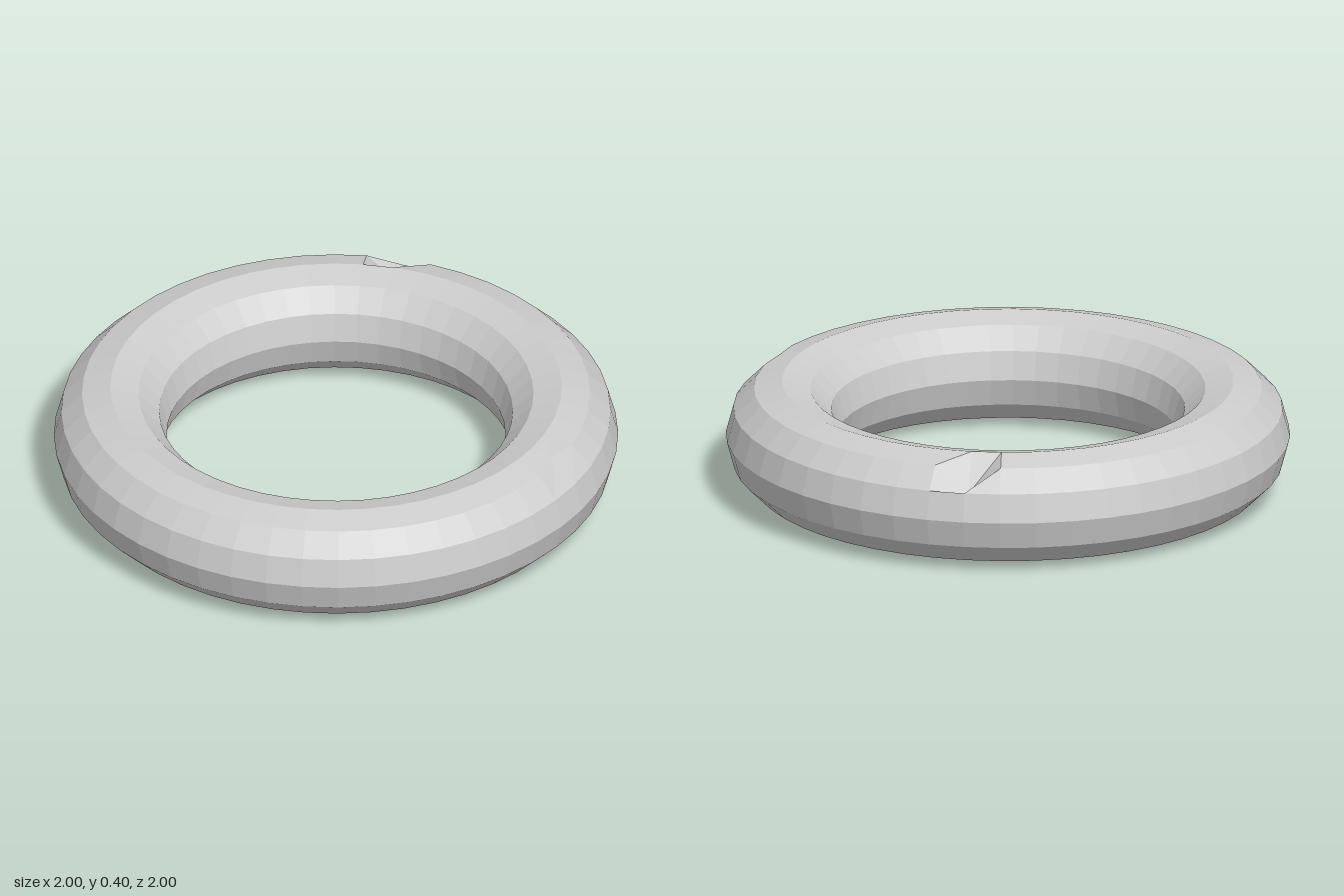
import * as THREE from 'three';

const RING = 0.8, TUBE = 0.2, SIDES = 12, SEGMENTS = 48;

export function createModel() {
  const group = new THREE.Group();
  group.name = 'ringModel';

  const grey = new THREE.MeshStandardMaterial({ color: 0xcccccc, flatShading: true });
  grey.name = 'light grey';

  // Faceted ring lying flat on the ground
  const ring = new THREE.TorusGeometry(RING, TUBE, SIDES, SEGMENTS);
  ring.rotateX(-Math.PI / 2);
  ring.translate(0, TUBE, 0);

  // Move one grid corner, given its row around the tube and step around the ring
  const pos = ring.attributes.position;
  const moveCorner = (row, step, x, y, z) =>
    pos.setXYZ(row * (SEGMENTS + 1) + step, x, y, z);

  // Deep chip in the upper outer edge
  moveCorner(2, 3, 0.832, 0.275, -0.348);
  // Slight unevenness at the front
  moveCorner(2, 37, 0.117, 0.385, 0.868);

  const geometry = ring.toNonIndexed();
  geometry.computeVertexNormals();
  const mesh = new THREE.Mesh(geometry, grey);
  mesh.name = 'ring';
  group.add(mesh);
  return group;
}
